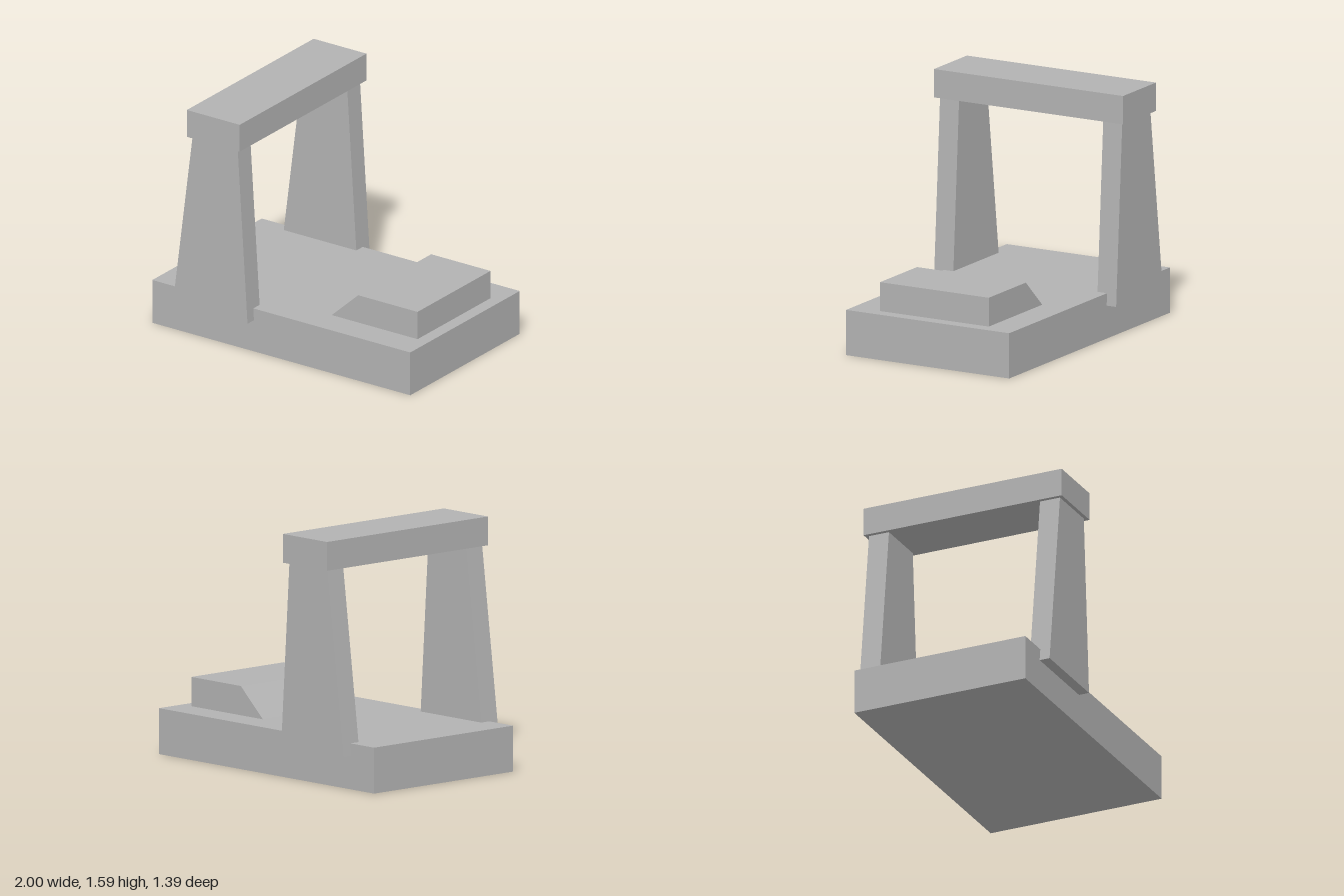
import * as THREE from 'three';

export function createModel() {
  const model = new THREE.Group();
  const grey = new THREE.MeshStandardMaterial({ color: 0xb2b2b2 });
  grey.name = 'light grey';

  const add = (name, geometry, x, y, z) => {
    const mesh = new THREE.Mesh(geometry, grey);
    mesh.name = name;
    mesh.position.set(x, y, z);
    model.add(mesh);
  };

  // Side profile in x and y, extruded along z and centred on z = 0
  const slab = (points, depth) => {
    const shape = new THREE.Shape(points.map(([x, y]) => new THREE.Vector2(x, y)));
    return new THREE.ExtrudeGeometry(shape, { depth, bevelEnabled: false })
      .translate(0, 0, -depth / 2);
  };

  // Base plate
  add('base', new THREE.BoxGeometry(2, 0.295, 1.2), 0, 0.1475, 0);

  // Tapered gantry columns, half sunk into the sides of the base
  const column = [[-0.79, 0.215], [-0.212, 0.215], [-0.288, 1.4], [-0.638, 1.4]];
  add('leftColumn', slab(column, 0.14), 0, 0, 0.6);
  add('rightColumn', slab(column, 0.14), 0, 0, -0.6);

  // Cross beam
  add('crossBeam', new THREE.BoxGeometry(0.41, 0.185, 1.39), -0.46, 1.4925, 0);

  // Raised block with a sloped inner face
  const wedge = [[0.25, 0.295], [0.915, 0.295], [0.915, 0.483], [0.455, 0.483]];
  add('slopedBlock', slab(wedge, 0.8), 0, 0, 0);

  return model;
}
